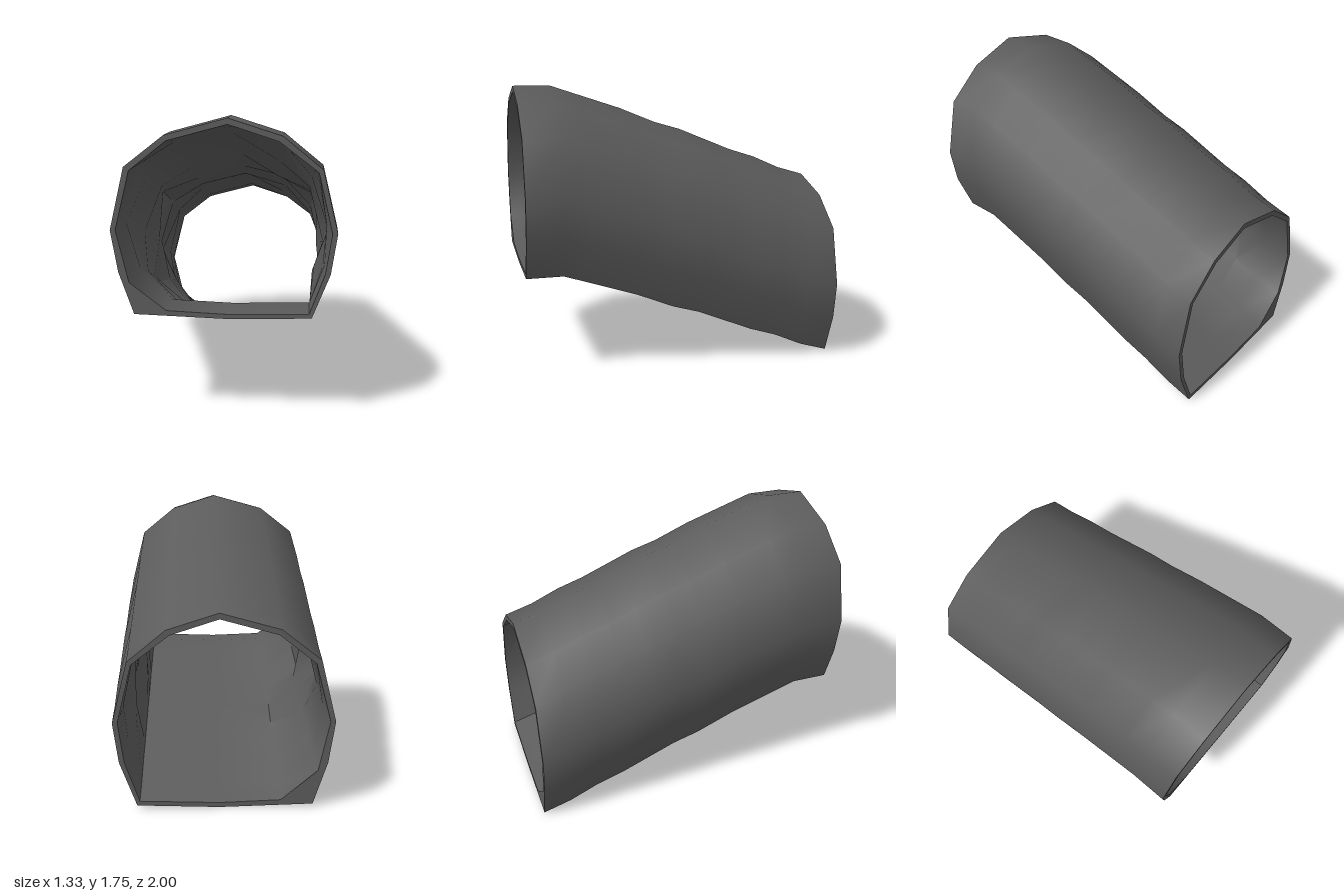
import * as THREE from 'three';
import { toCreasedNormals } from 'three/addons/utils/BufferGeometryUtils.js';

// Tunnel cross-sections at the front mouth, clockwise from the crown
const OUTER = [
  [0.06, 1.755], [0.36, 1.66], [0.58, 1.48], [0.665, 1.13], [0.63, 0.9], [0.53, 0.645],
  [0.06, 0.63], [-0.475, 0.645], [-0.56, 0.89], [-0.6, 1.13], [-0.515, 1.485], [-0.29, 1.66],
];
const INNER = [
  [0.06, 1.72], [0.34, 1.63], [0.555, 1.465], [0.635, 1.13], [0.6, 0.9], [0.515, 0.67],
  [0.06, 0.657], [-0.29, 0.67], [-0.5, 0.83], [-0.57, 1.13], [-0.485, 1.465], [-0.275, 1.63],
];
// Stations along the slope: [z, drop]
const PATH = [
  [0.975, 0], [0.75, 0], [0.6, 0.05], [0.3, 0.15], [0.07, 0.245], [-0.1, 0.295],
  [-0.28, 0.37], [-0.45, 0.44], [-0.62, 0.495], [-0.8, 0.575], [-0.978, 0.628],
];

// One ring of points: slides down the slope, drifts sideways, is slightly skewed
function ring(profile, station, rough) {
  const [z, drop] = PATH[station];
  const t = (0.975 - z) / 1.953;
  return profile.map(([x, y], i) => {
    // uneven rock on the inside walls, flat at both mouths and on the floor
    const lump = i >= 5 && i <= 7 ? 0 :
      rough * Math.sin(Math.PI * t) * (1 + Math.sin(i * 2.3 + station * 1.4));
    const px = 0.03 + (x - 0.03) * (1 - lump);
    const py = 1.15 + (y - 1.15) * (1 - lump);
    return [px - 0.067 * t, py - drop, z - 0.038 * (x - 0.03)];
  });
}

export function createModel() {
  const group = new THREE.Group();
  group.name = 'slopingTunnel';
  const stone = new THREE.MeshStandardMaterial({ color: 0x5c5c5c });
  stone.name = 'dark grey stone';

  // Outer skin front to back, then inner skin back to front, closed at both mouths
  const rings = [
    ...PATH.map((_, s) => ring(OUTER, s, 0)),
    ...PATH.map((_, s) => ring(INNER, s, 0.07)).reverse(),
  ];
  const n = OUTER.length;
  const index = [];
  rings.forEach((_, j) => {
    const k = (j + 1) % rings.length;
    for (let i = 0; i < n; i++) {
      const m = (i + 1) % n;
      const a = j * n + i, b = j * n + m, c = k * n + i, d = k * n + m;
      index.push(a, b, c, b, d, c);
    }
  });
  const geometry = new THREE.BufferGeometry();
  geometry.setAttribute('position', new THREE.Float32BufferAttribute(rings.flat(2), 3));
  geometry.setIndex(index);

  const shell = new THREE.Mesh(toCreasedNormals(geometry, 0.8), stone);
  shell.name = 'tunnelShell';
  group.add(shell);
  return group;
}
